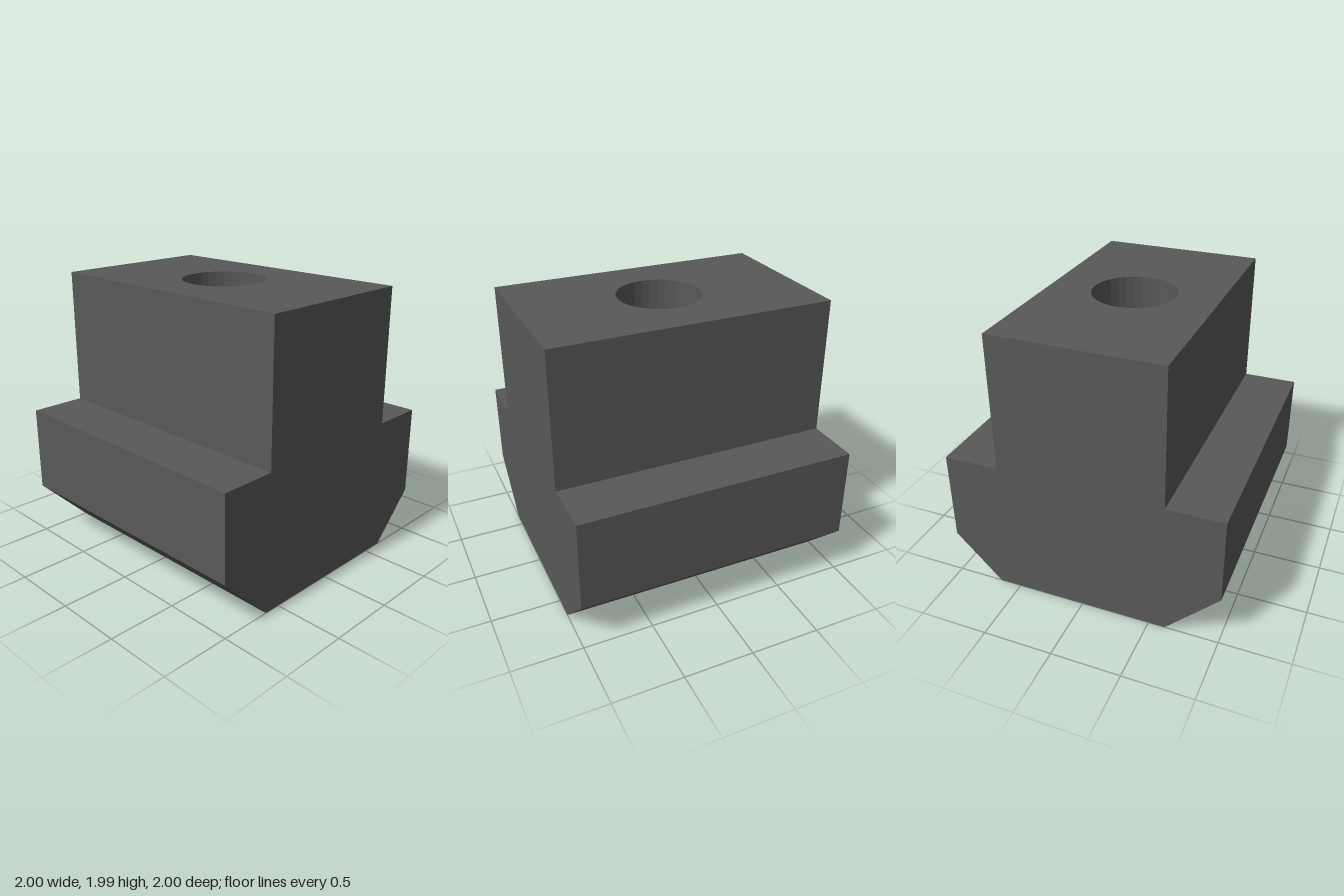
import * as THREE from 'three';

const HALF = 1, TOP = 1.99, RADIUS = 0.3, SIDES = 32;

// T-shaped cross-section as [z, y], running up the front and down the back
const PROFILE = [
  [0.62, 0], [1, 0.38], [1, 1], [0.6, 1], [0.6, TOP],
  [-0.6, TOP], [-0.6, 1], [-1, 1], [-1, 0.34], [-0.66, 0],
];

// Flat quads, each given as four counter-clockwise corners
function quadGeometry(quads) {
  const positions = quads.flatMap(([a, b, c, d]) => [a, b, c, a, c, d].flat());
  const geometry = new THREE.BufferGeometry();
  geometry.setAttribute('position', new THREE.Float32BufferAttribute(positions, 3));
  geometry.computeVertexNormals();
  return geometry;
}

// Rectangle across the full width with the round bore cut out of it
function boredFace(y0, y1) {
  const shape = new THREE.Shape([[-HALF, y0], [HALF, y0], [HALF, y1], [-HALF, y1]]
    .map(([x, y]) => new THREE.Vector2(x, y)));
  shape.holes.push(new THREE.Path().absarc(0, 0, RADIUS, 0, Math.PI * 2, true));
  return new THREE.ShapeGeometry(shape, SIDES / 2);
}

export function createModel() {
  const group = new THREE.Group();
  group.name = 'tSlotNut';
  // Dark grey steel
  const material = new THREE.MeshStandardMaterial({ color: 0x595959, flatShading: true });
  const add = (name, geometry) => {
    const mesh = new THREE.Mesh(geometry, material);
    mesh.name = name;
    group.add(mesh);
  };

  // Long walls, shoulders and chamfers; the bored top and bottom are left out
  const walls = [];
  for (let i = 0; i < PROFILE.length - 1; i++) {
    const [z0, y0] = PROFILE[i], [z1, y1] = PROFILE[i + 1];
    if (y0 === TOP && y1 === TOP) continue;
    walls.push([[-HALF, y0, z0], [HALF, y0, z0], [HALF, y1, z1], [-HALF, y1, z1]]);
  }
  add('walls', quadGeometry(walls));

  // T-shaped ends
  for (const side of [1, -1]) {
    const shape = new THREE.Shape(PROFILE.map(([z, y]) => new THREE.Vector2(-side * z, y)));
    const end = new THREE.ShapeGeometry(shape).rotateY(side * Math.PI / 2);
    add(side > 0 ? 'leftEnd' : 'rightEnd', end.translate(side * HALF, 0, 0));
  }

  // Top and bottom faces around the bore
  add('topFace', boredFace(-0.6, 0.6).rotateX(-Math.PI / 2).translate(0, TOP, 0));
  add('bottomFace', boredFace(-0.66, 0.62).rotateX(Math.PI / 2));

  // Inner wall of the through bore, facing its axis
  const rim = (i, y) => {
    const angle = (i / SIDES) * Math.PI * 2;
    return [RADIUS * Math.cos(angle), y, RADIUS * Math.sin(angle)];
  };
  const bore = [];
  for (let i = 0; i < SIDES; i++) {
    bore.push([rim(i, 0), rim(i + 1, 0), rim(i + 1, TOP), rim(i, TOP)]);
  }
  add('bore', quadGeometry(bore));

  return group;
}
